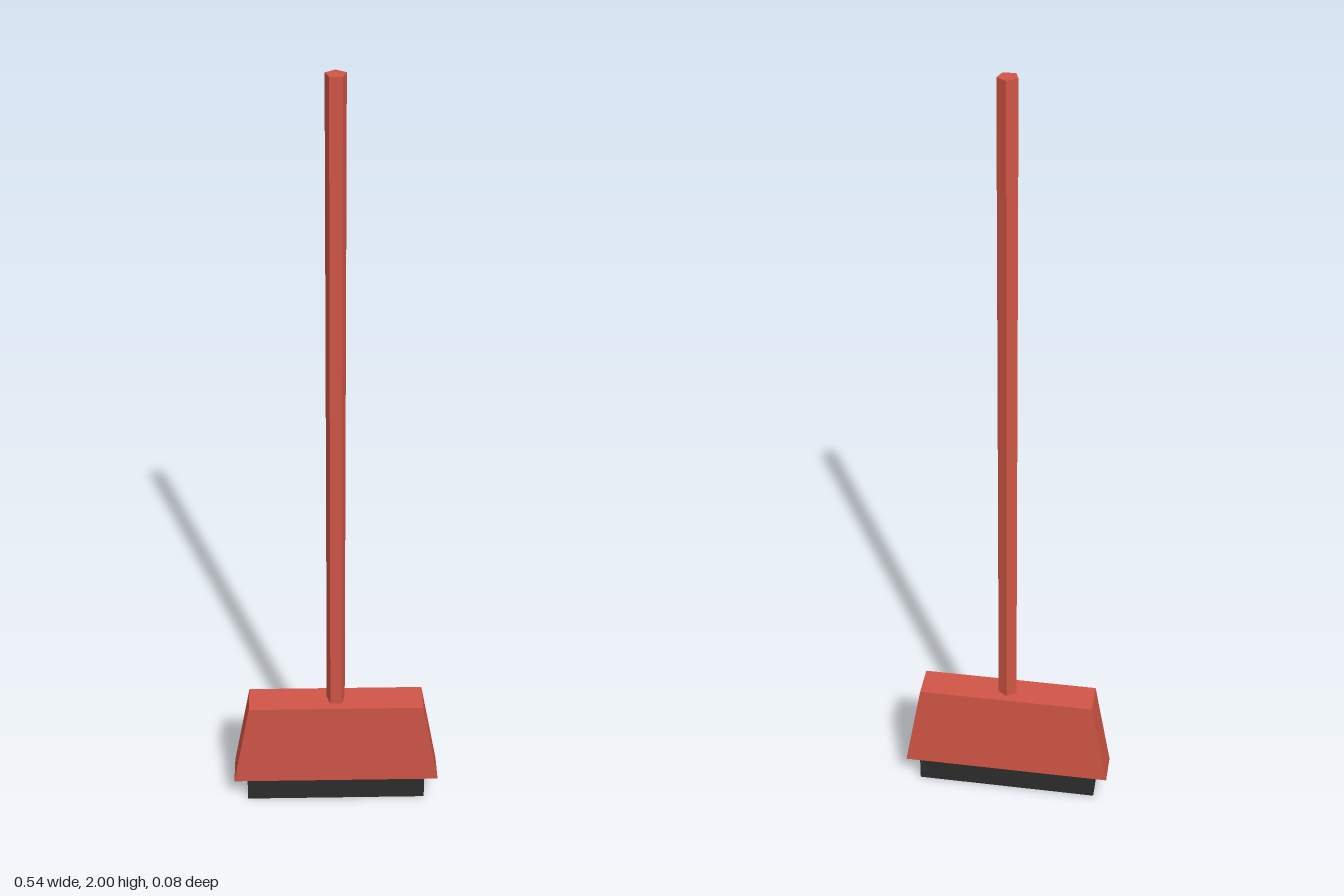
import * as THREE from 'three';

export function createModel() {
  const broom = new THREE.Group();
  broom.name = 'broom';
  const red = new THREE.MeshStandardMaterial({ color: 0xd05546, flatShading: true });
  const black = new THREE.MeshStandardMaterial({ color: 0x2c2c2c, flatShading: true });

  const add = (name, geometry, material, y) => {
    const mesh = new THREE.Mesh(geometry, material);
    mesh.name = name;
    mesh.position.y = y;
    broom.add(mesh);
    return mesh;
  };

  // Five-sided stick, one edge facing the back
  const headTop = 0.318, headBottom = 0.075;
  const handle = add('handle', new THREE.CylinderGeometry(0.0245, 0.0245, 2 - headTop, 5), red, (2 + headTop) / 2);
  handle.rotation.y = Math.PI;

  // Head: trapezoid, narrower at the top
  const depth = 0.084;
  const outline = new THREE.Shape([
    new THREE.Vector2(-0.268, headBottom),
    new THREE.Vector2(0.268, headBottom),
    new THREE.Vector2(0.224, headTop),
    new THREE.Vector2(-0.224, headTop),
  ]);
  const headGeometry = new THREE.ExtrudeGeometry(outline, { depth, bevelEnabled: false });
  headGeometry.translate(0, 0, -depth / 2);
  add('head', headGeometry, red, 0);

  // Bristle block below the head
  add('bristles', new THREE.BoxGeometry(0.468, headBottom, 0.055), black, headBottom / 2);

  return broom;
}
